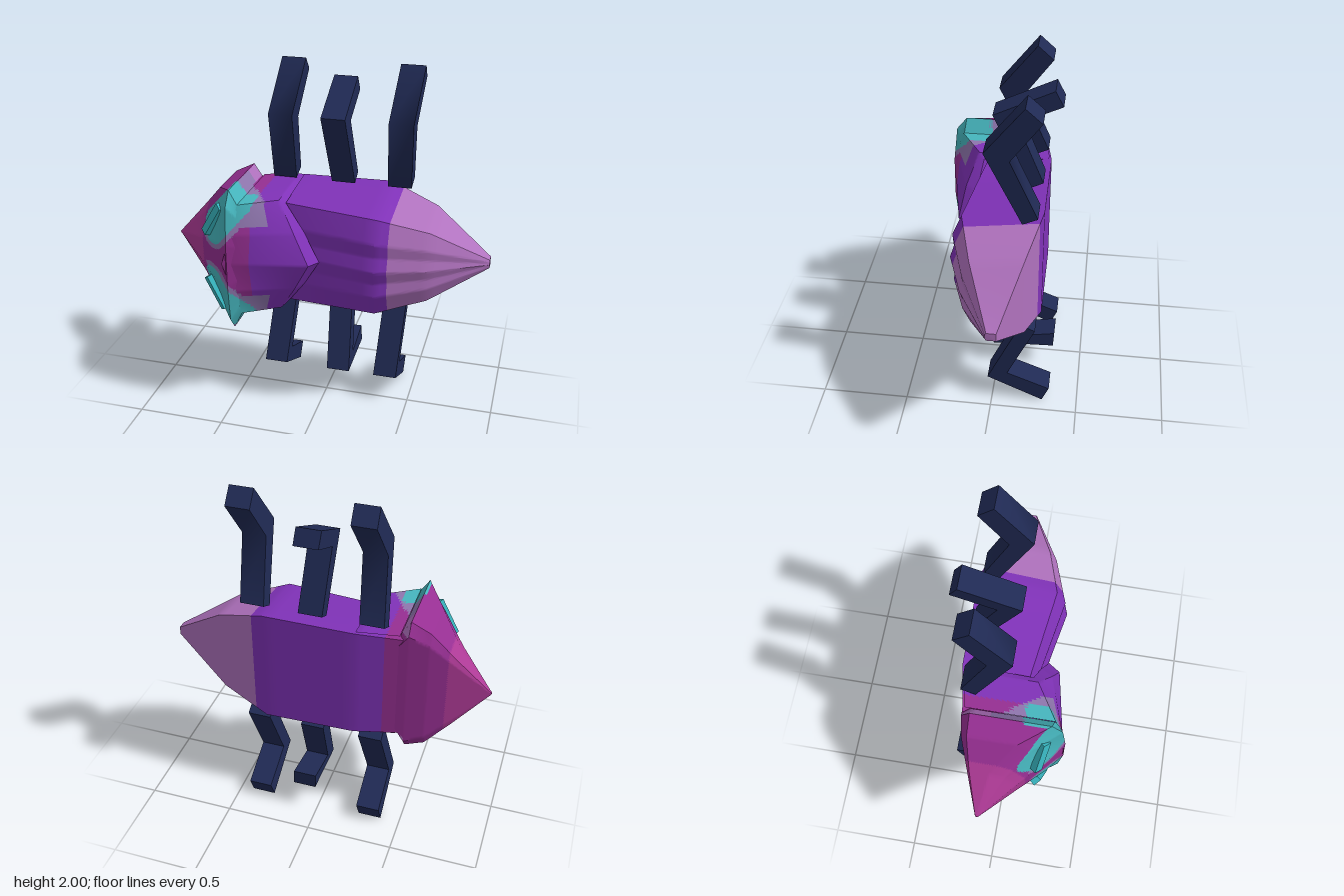
import * as THREE from 'three';
import { toCreasedNormals } from 'three/addons/utils/BufferGeometryUtils.js';

const MID = 0.95; // height of the body's mirror plane

const mat = (name, color) => {
  const m = new THREE.MeshStandardMaterial({ color, side: THREE.DoubleSide });
  m.name = name;
  return m;
};

// Mirror half a ring (underside centre -> side -> back centre) into a full ring
function mirrorRing(half, midY = MID) {
  const right = half.map(([x, y, z]) => new THREE.Vector3(x, midY + y, z));
  const left = half.map(([x, y, z]) => new THREE.Vector3(x, midY - y, z)).reverse();
  return right.concat(left);
}

// Skin a list of rings with finely divided patches; each triangle picks its colour by position
function paintedSkin(name, rings, sub, materials, rule) {
  const buckets = materials.map(() => []);
  const add = (a, b, c) => {
    const mid = a.clone().add(b).add(c).divideScalar(3);
    buckets[rule(mid.x, Math.abs(mid.y - MID), mid.z)].push(a, b, c);
  };
  for (let i = 0; i < rings.length - 1; i++) {
    for (let j = 0; j < rings[i].length - 1; j++) {
      const at = (u, v) => {
        const p = rings[i][j].clone().lerp(rings[i][j + 1], v / sub);
        return p.lerp(rings[i + 1][j].clone().lerp(rings[i + 1][j + 1], v / sub), u / sub);
      };
      for (let u = 0; u < sub; u++) {
        for (let v = 0; v < sub; v++) {
          const a = at(u, v), b = at(u, v + 1), c = at(u + 1, v), d = at(u + 1, v + 1);
          add(a, b, c);
          add(b, d, c);
        }
      }
    }
  }
  const geo = new THREE.BufferGeometry().setFromPoints(buckets.flat());
  let start = 0;
  buckets.forEach((b, i) => {
    if (b.length) geo.addGroup(start, b.length, i);
    start += b.length;
  });
  const mesh = new THREE.Mesh(toCreasedNormals(geo, 0.6), materials);
  mesh.name = name;
  return mesh;
}

// Bent leg: side profile as [z, y] pairs, leaning in x from base to tip
function leg(name, profile, xBase, xTip, material) {
  const width = 0.135;
  const shape = new THREE.Shape(profile.map(([z, y]) => new THREE.Vector2(-z, y)));
  const geo = new THREE.ExtrudeGeometry(shape, { depth: width, bevelEnabled: false });
  geo.translate(0, 0, -width / 2).rotateY(Math.PI / 2);
  const y0 = profile[0][1], y1 = profile[2][1];
  const pos = geo.attributes.position;
  for (let i = 0; i < pos.count; i++) {
    const t = (pos.getY(i) - y0) / (y1 - y0);
    pos.setX(i, pos.getX(i) + xBase + (xTip - xBase) * t);
  }
  const mesh = new THREE.Mesh(toCreasedNormals(geo, 1.3), material);
  mesh.name = name;
  return mesh;
}

export function createModel() {
  const group = new THREE.Group();
  group.name = 'beetle';
  const skin = [
    mat('pink', 0xae3a96), mat('magenta', 0x962f92), mat('purple', 0x8032b8),
    mat('mauve', 0xb072be), mat('teal', 0x46b6be), mat('greyMauve', 0x8f76ae),
  ];
  const eyeMat = mat('eyeTeal', 0x38b6c0);
  const legMat = mat('navy', 0x202a54);

  // Colour bands along the body, with teal and grey patches round the eyes
  const patchLine = new THREE.Line3(new THREE.Vector3(-0.6, 0.16, 0), new THREE.Vector3(-0.44, 0.34, 0));
  const near = new THREE.Vector3();
  const rule = (x, s, z) => {
    const p = new THREE.Vector3(x, s, 0);
    const d = patchLine.closestPointToPoint(p, true, near).distanceTo(p);
    const inner = s < 0.16 + (x + 0.6) * 1.125;
    if (z > 0.11 && d < 0.083) return 4;
    // rear faces of the cheeks
    if (x > -0.478 && x < -0.42 && s > 0.34) return z > -0.07 ? 5 : 3;
    // grey fringe on the neck shield and beside the eyes
    if (x > -0.47 && x < -0.42 + 0.62 * z && s > 0.21) return 5;
    if (z > 0.1 && x < -0.4 && inner && d < 0.11) return 5;
    if (x < -0.69) return 0;
    if (x < -0.36) return 1;
    return x < 0.39 ? 2 : 3;
  };

  // Abdomen: [x, underside half width, back half width, underside z, shoulder z, back z]
  const bodyRings = [
    [-0.45, 0.32, 0.30, -0.22, 0.06, 0.12],
    [-0.2, 0.337, 0.30, -0.265, 0.10, 0.14],
    [0.32, 0.345, 0.285, -0.27, 0.17, 0.24],
    [0.6, 0.25, 0.205, -0.2, 0.09, 0.145],
    [0.92, 0.024, 0.024, -0.09, -0.04, -0.03],
    [0.921, 0, 0, -0.06, -0.06, -0.06],
  ].map(([x, w, w2, zb, zc, zt]) => mirrorRing([
    [x, 0, zb], [x, w, zb], [x, w2, zc],
    [x, w2 * 0.55, zt - (zt - zc) * 0.25], [x, w2 * 0.28, zt - (zt - zc) * 0.35], [x, 0, zt],
  ]));
  group.add(paintedSkin('abdomen', bodyRings, 8, skin, rule));

  // Head, flaring into two cheeks: [x, half width, underside z, cheek z, brow z, crown z, middle y]
  const headRings = [
    [-0.925, 0.003, -0.08, -0.075, -0.07, -0.065, 0.92],
    [-0.73, 0.22, -0.15, -0.03, 0.05, 0.118, 0.925],
    [-0.59, 0.375, -0.2, 0.1, 0.175, 0.255, 0.93],
    [-0.48, 0.425, -0.22, 0.26, 0.32, 0.343, 0.935],
    [-0.43, 0.335, -0.225, 0.27, 0.295, 0.318, 0.945],
  ].map(([x, w, zb, zc, zs, zt, y]) => mirrorRing([
    [x, 0, zb], [x, w * 0.85, zb], [x, w, zb + (zc - zb) * 0.1],
    [x, w, zc], [x, w * 0.82, zs], [x, w * 0.3, zt], [x, 0, zt],
  ], y));
  group.add(paintedSkin('head', headRings, 16, skin, rule));

  // Neck shield: front edge, pointed rear rim, lip, and the turn under the rim
  const shieldRings = [
    [[-0.43, 0.335, -0.21], [-0.43, 0.335, 0.275], [-0.46, 0.17, 0.325], [-0.51, 0, 0.342]],
    [[-0.23, 0.343, -0.25], [-0.23, 0.335, 0.15], [-0.13, 0.17, 0.215], [-0.04, 0, 0.25]],
    [[-0.2, 0.34, -0.25], [-0.2, 0.31, 0.12], [-0.09, 0.16, 0.15], [0.005, 0, 0.182]],
    [[-0.24, 0.3, -0.2], [-0.24, 0.28, 0.1], [-0.22, 0.15, 0.11], [-0.2, 0, 0.12]],
  ].map((half) => mirrorRing(half));
  group.add(paintedSkin('neckShield', shieldRings, 16, skin, rule));

  // Slit eyes, lying on the slope of the head
  for (const s of [1, -1]) {
    const normal = new THREE.Vector3(-0.8, 0.32 * s, 1).normalize();
    const across = new THREE.Vector3(0.13, 0.17 * s, 0);
    const long = across.addScaledVector(normal, -across.dot(normal)).normalize();
    const side = new THREE.Vector3().crossVectors(long, normal);
    const eye = new THREE.Mesh(new THREE.BoxGeometry(0.05, 0.21, 0.04), eyeMat);
    eye.quaternion.setFromRotationMatrix(new THREE.Matrix4().makeBasis(side, long, normal));
    eye.position.set(-0.592, s > 0 ? 1.16 : 0.705, 0.222);
    eye.name = s > 0 ? 'upperEye' : 'lowerEye';
    group.add(eye);
  }

  // Six legs: profile order is base, outer knee, tip, tip, inner knee, base
  const upper = (tip, inner) => [[-0.165, 1.3], [0.03, 1.73], ...tip, inner, [-0.245, 1.34]];
  const lower = (tip, inner) => [[-0.165, 0.605], [0.025, 0.16], ...tip, inner, [-0.245, 0.565]];
  const upperLong = upper([[-0.175, 2.0], [-0.26, 1.92]], [-0.1, 1.69]);
  const upperShort = upper([[-0.29, 1.885], [-0.335, 1.8]], [-0.1, 1.69]);
  const lowerLong = lower([[-0.295, 0.0], [-0.335, 0.1]], [-0.09, 0.205]);
  const lowerShort = lower([[-0.335, 0.175], [-0.34, 0.27]], [-0.1, 0.225]);
  group.add(
    leg('upperFrontLeg', upperLong, -0.29, -0.23, legMat),
    leg('upperMiddleLeg', upperShort, 0.055, 0.035, legMat),
    leg('upperRearLeg', upperLong, 0.38, 0.43, legMat),
    leg('lowerFrontLeg', lowerLong, -0.29, -0.32, legMat),
    leg('lowerMiddleLeg', lowerShort, 0.05, 0.075, legMat),
    leg('lowerRearLeg', lowerLong, 0.38, 0.355, legMat),
  );
  return group;
}
